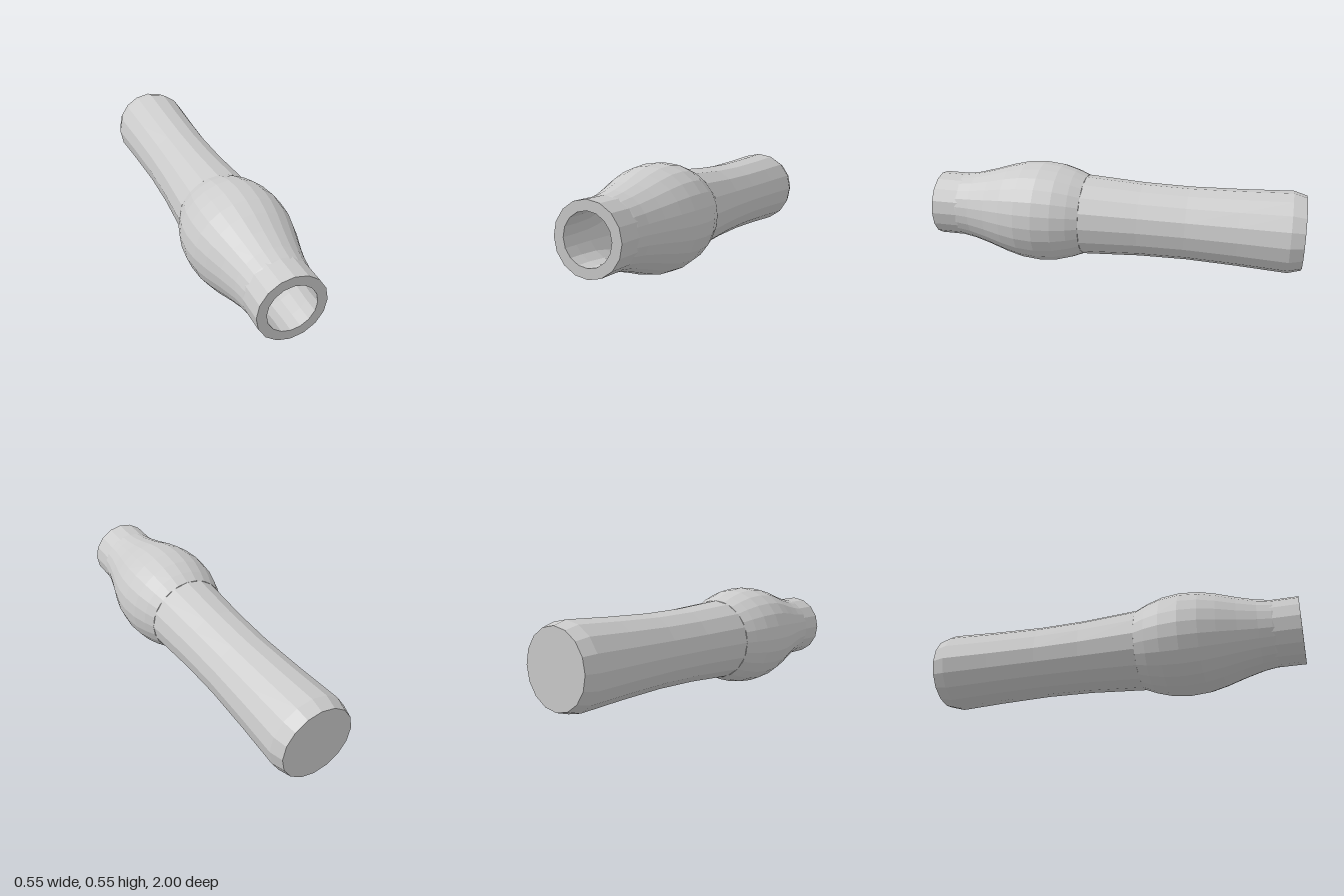
import * as THREE from 'three';

const material = new THREE.MeshStandardMaterial({ color: 0xcccccc, flatShading: true });

// Turned part along z from [radius, z] pairs, listed back to front on the outside
function turned(name, sides, profile) {
  const points = profile.map(([r, z]) => new THREE.Vector2(r, z));
  const geometry = new THREE.LatheGeometry(points, sides);
  geometry.rotateX(Math.PI / 2);
  const mesh = new THREE.Mesh(geometry, material);
  mesh.name = name;
  return mesh;
}

export function createModel() {
  const group = new THREE.Group();
  group.name = 'handleWithBulb';

  // Slightly waisted grip with a chamfered, closed back end
  group.add(turned('grip', 16, [
    [0, -1], [0.195, -1], [0.215, -0.93], [0.203, -0.67], [0.195, -0.4],
    [0.199, -0.15], [0.217, 0.16], [0, 0.16],
  ]));

  // Swollen bulb, its ends tucked into the grip and the neck
  group.add(turned('bulb', 24, [
    [0.19, 0.15], [0.217, 0.16], [0.242, 0.22], [0.265, 0.3], [0.275, 0.4], [0.267, 0.5],
    [0.245, 0.59], [0.213, 0.69], [0.186, 0.79], [0.175, 0.86], [0.166, 0.89],
  ]));

  // Straight neck with a flat rim and a short bore
  group.add(turned('neck', 16, [
    [0.175, 0.85], [0.175, 1], [0.125, 1], [0.125, 0.92],
  ]));

  // Hollow inside, widening behind the bore to a flat floor
  group.add(turned('cavity', 16, [
    [0.125, 0.92], [0.135, 0.8], [0.163, 0.69], [0.195, 0.59], [0.215, 0.5],
    [0.222, 0.4], [0.215, 0.3], [0.185, 0.18], [0, 0.18],
  ]));

  group.position.y = 0.275;
  const model = new THREE.Group();
  model.name = 'model';
  model.add(group);
  return model;
}
